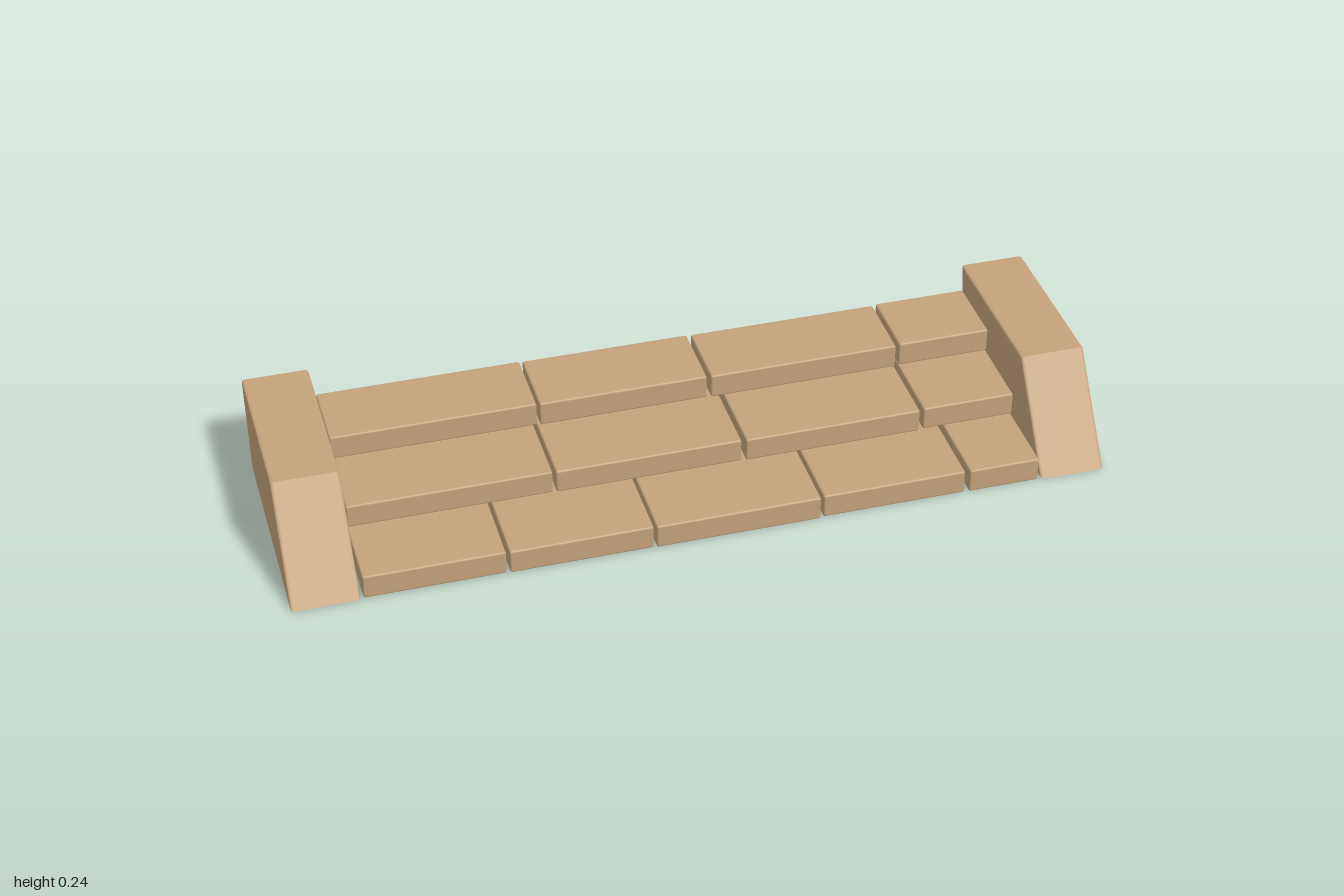
import * as THREE from 'three';
import { RoundedBoxGeometry } from 'three/addons/geometries/RoundedBoxGeometry.js';

export function createModel() {
  const model = new THREE.Group();
  model.name = 'stoneSteps';
  const stone = new THREE.MeshStandardMaterial({ color: 0xc4a27a });
  stone.name = 'sandstone';

  // Three courses of stone blocks, each stepping back; all share one rear plane
  const back = -0.265;
  const courses = [
    { name: 'bottomStep', y0: 0, y1: 0.062, front: 0.295,
      spans: [[-0.83, -0.491], [-0.483, -0.136], [-0.129, 0.276], [0.284, 0.641], [0.653, 0.83]] },
    { name: 'middleStep', y0: 0.064, y1: 0.125, front: 0.108,
      spans: [[-0.83, -0.333], [-0.325, 0.134], [0.145, 0.587], [0.598, 0.83]] },
    { name: 'topStep', y0: 0.127, y1: 0.19, front: -0.08,
      spans: [[-0.83, -0.325], [-0.318, 0.101], [0.111, 0.587], [0.597, 0.83]] },
  ];
  for (const { name, y0, y1, front, spans } of courses) {
    const course = new THREE.Group();
    course.name = name;
    spans.forEach(([x0, x1], i) => {
      const shift = [0, 0.002, 0.004, 0, 0.001][i]; // slightly uneven laying
      const block = new THREE.Mesh(
        new RoundedBoxGeometry(x1 - x0, y1 - y0, front - back, 2, 0.005), stone);
      block.position.set((x0 + x1) / 2, (y0 + y1) / 2, (front + back) / 2 + shift);
      block.name = name + 'Block' + (i + 1);
      course.add(block);
    });
    model.add(course);
  }

  // Sloping side walls with softened edges, drawn as a z/y profile
  const profile = new THREE.Shape([
    [0.298, 0], [0.117, 0.24], [-0.3, 0.24], [-0.263, 0],
  ].map(([z, y]) => new THREE.Vector2(z, y)).reverse());
  const width = 0.162, bevel = 0.006;
  const wallGeometry = new THREE.ExtrudeGeometry(profile, {
    depth: width - 2 * bevel, bevelEnabled: true, bevelThickness: bevel,
    bevelSize: bevel, bevelOffset: -bevel, bevelSegments: 2,
  });
  wallGeometry.translate(0, 0, -(width - 2 * bevel) / 2);
  wallGeometry.rotateY(-Math.PI / 2);
  for (const side of [1, -1]) {
    const wall = new THREE.Mesh(wallGeometry, stone);
    wall.position.x = side * (1 - width / 2);
    wall.name = side > 0 ? 'leftSideWall' : 'rightSideWall';
    model.add(wall);
  }
  return model;
}
